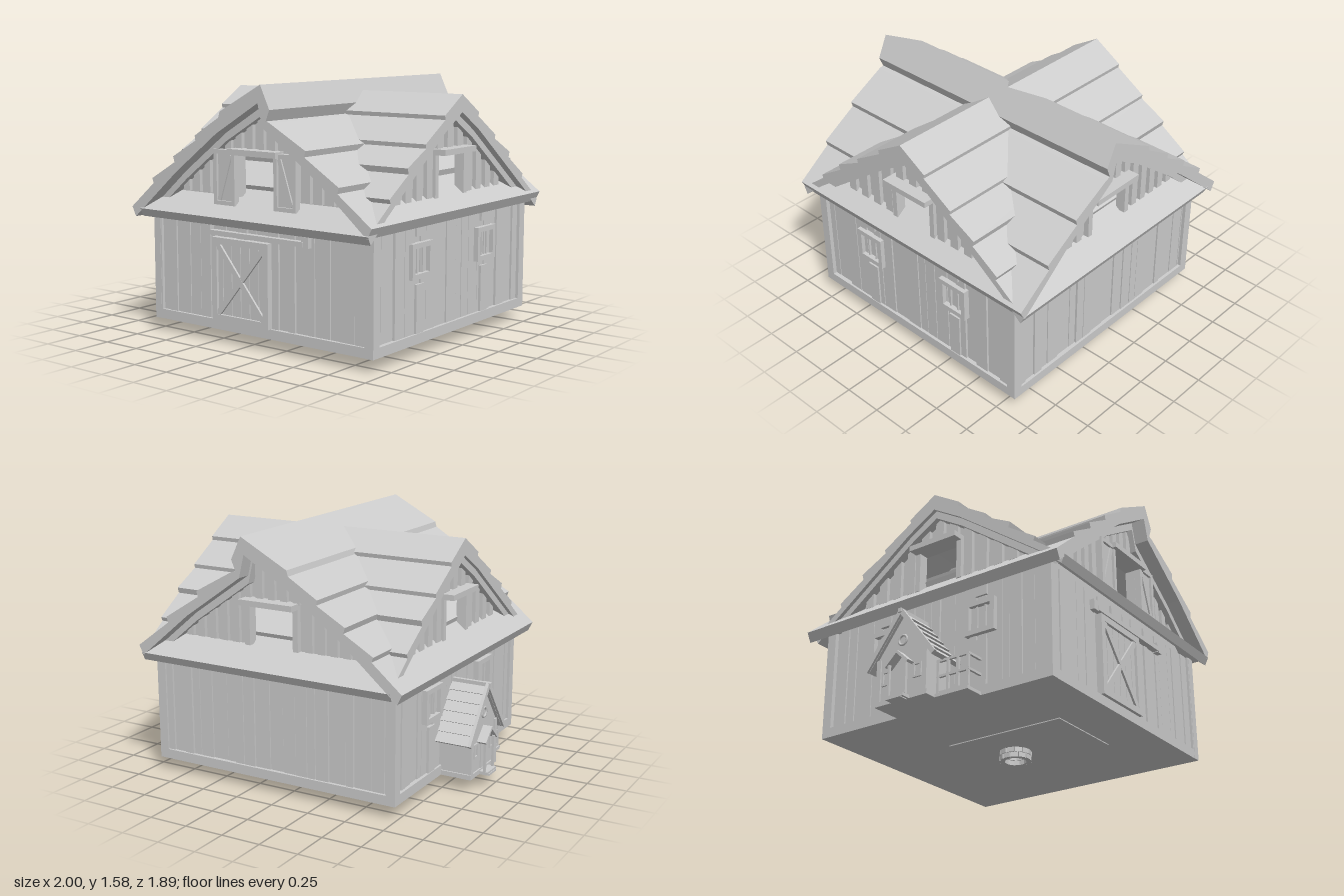
import * as THREE from 'three';

const grey = new THREE.MeshStandardMaterial({ color: 0xcccccc });
grey.name = 'plain grey';

function add(parent, name, geo) {
  const m = new THREE.Mesh(geo, grey);
  m.name = name;
  parent.add(m);
  return m;
}
// Box given by its limits
function box(parent, name, x0, x1, y0, y1, z0, z1) {
  const m = add(parent, name, new THREE.BoxGeometry(x1 - x0, y1 - y0, z1 - z0));
  m.position.set((x0 + x1) / 2, (y0 + y1) / 2, (z0 + z1) / 2);
  return m;
}
// Outline in x/y, extruded from z0 to z1
function prism(parent, name, pts, z0, z1, hole) {
  const s = new THREE.Shape(pts.map(p => new THREE.Vector2(...p)));
  if (hole) s.holes.push(new THREE.Path(hole.map(p => new THREE.Vector2(...p))));
  const g = new THREE.ExtrudeGeometry(s, { depth: z1 - z0, bevelEnabled: false });
  g.translate(0, 0, z0);
  return add(parent, name, g);
}
// Bar between two points in a plane facing z
function bar(parent, name, a, b, w, z0, z1) {
  const m = add(parent, name, new THREE.BoxGeometry(Math.hypot(b[0] - a[0], b[1] - a[1]), w, z1 - z0));
  m.position.set((a[0] + b[0]) / 2, (a[1] + b[1]) / 2, (z0 + z1) / 2);
  m.rotation.z = Math.atan2(b[1] - a[1], b[0] - a[0]);
}
function frame(parent, name, x0, x1, y0, y1, w, z0, z1) {
  prism(parent, name, [[x0, y0], [x1, y0], [x1, y1], [x0, y1]], z0, z1,
    [[x0 + w, y0 + w], [x0 + w, y1 - w], [x1 - w, y1 - w], [x1 - w, y0 + w]]);
}
function sub(parent, name, x, z, ry) {
  const g = new THREE.Group();
  g.name = name;
  g.position.set(x, 0, z);
  g.rotation.y = ry;
  parent.add(g);
  return g;
}
const mirror = pts => pts.map(([x, y]) => [-x, y]).reverse();
function heightAt(pts, x) {
  for (let i = 1; i < pts.length; i++) {
    const [a, b] = [pts[i - 1], pts[i]];
    if (x <= b[0]) return a[1] + (b[1] - a[1]) * (x - a[0]) / (b[0] - a[0]);
  }
  return pts[pts.length - 1][1];
}

// Stepped roof outlines and their undersides, left to right
const mainTop = [[-.83, .79], [-.64, .95], [-.65, .98], [-.46, 1.09], [-.47, 1.125], [-.285, 1.23], [-.29, 1.26],
  [-.1, 1.375], [-.09, 1.41], [.22, 1.575], [.287, 1.435], [.26, 1.37], [.29, 1.36], [.545, 1.22], [.535, 1.185],
  [.775, 1.035], [.765, 1.0], [.995, .83]];
const mainUnder = [[-.8, .73], [-.45, 1.03], [-.12, 1.28], [.2, 1.47], [.235, 1.33], [.42, 1.2], [.62, 1.06], [.965, .77]];
const crossHalf = [[0, 1.505], [.19, 1.39], [.185, 1.365], [.39, 1.24], [.385, 1.215], [.57, 1.12], [.56, 1.085],
  [.745, .965], [.735, .94], [.945, .785]];
const crossUnderHalf = [[0, 1.4], [.2, 1.28], [.42, 1.12], [.77, .865], [.92, .735]];
const whole = half => [...mirror(half).slice(0, -1), ...half];
const crossTop = whole(crossHalf), crossUnder = whole(crossUnderHalf);

// Gable wall with opening, battens, inner bargeboard and lintel
function gable(g, under, u0, u1, h0, h1, step) {
  const knots = [[u0, heightAt(under, u0)], ...under.filter(p => p[0] > u0 && p[0] < u1), [u1, heightAt(under, u1)]];
  const hole = [[h0, .87], [h0, 1.16], [h1, 1.16], [h1, .87]];
  prism(g, 'gableWall', [[u0, .78], [u1, .78], ...[...knots].reverse()], -.03, 0, hole);
  prism(g, 'innerBargeboard', [...knots, ...knots.map(([x, y]) => [x, y - .05]).reverse()], 0, .06);
  const w = step * .55;
  for (let c = u0 + step; c < u1 - step / 2; c += step) {
    const a = c - w / 2, b = c + w / 2;
    const ya = heightAt(under, a) - .02, yb = heightAt(under, b) - .02;
    const low = b > h0 - .03 && a < h1 + .03 ? 1.18 : .905;
    if (Math.min(ya, yb) > low + .03) prism(g, 'gableBatten', [[a, low], [b, low], [b, yb], [a, ya]], 0, .025);
  }
  for (const x of [h0 - .035, h1]) box(g, 'openingJamb', x, x + .035, .9, 1.16, -.03, .035);
  box(g, 'openingLintel', h0 - .035, h1 + .035, 1.155, 1.19, -.03, .1);
}

// Planked wall with its timber frame; local z = 0 is the outer face
function wall(g, half, seed) {
  let s = seed;
  const rnd = () => (s = (s * 16807) % 2147483647) / 2147483647;
  let u = -half + .06;
  while (u < half - .06) {
    const e = Math.min(u + .05 + rnd() * .07, half - .06);
    box(g, 'wallPlank', u, e - .005, .14, .78, -.05, -.012 - rnd() * .016);
    u = e;
  }
  box(g, 'sillBeam', -half, half, .08, .14, -.05, 0);
  for (const k of [-1, 1]) box(g, 'cornerPost', k * (half - .03) - .03, k * (half - .03) + .03, .14, .78, -.05, 0);
}
function windows(g) {
  for (const c of [-.37, .35]) {
    frame(g, 'windowFrame', c - .105, c + .105, .465, .675, .03, -.03, .012);
    for (const x of [-.03, .03]) box(g, 'windowBar', c + x - .005, c + x + .005, .49, .65, -.03, -.006);
    box(g, 'boardAboveWindow', c - .04, c + .04, .71, .78, -.03, -.004);
    box(g, 'boardBelowWindow', c - .04, c + .04, .14, .43, -.03, -.004);
  }
}

function buildCottage(root) {
  // Small lean-to cottage on the left; local z points outward (-x)
  const g = sub(root, 'smallCottage', -.74, -.06, -Math.PI / 2);
  prism(g, 'cottageWalls', [[-.18, .08], [.18, .08], [.18, .38], [0, .61], [-.18, .38]], -.02, .19);
  for (const k of [-1, 1]) {
    for (let i = 0; i < 6; i++) {
      const a = i / 6, b = (i + 1) / 6;
      const P = (t, d) => [k * (.245 * t + d), .635 - .325 * t + d * .6];
      prism(g, 'shingleCourse', [P(a, -.012), P(a, .002), P(b, .012), P(b, -.012)], -.02, .21);
    }
    bar(g, 'cottageBargeboard', [0, .64], [k * .25, .31], .03, .205, .225);
    box(g, 'cottageCornerPost', k * .17 - .015, k * .17 + .015, .08, .37, .18, .2);
    frame(g, 'cottageWindow', k * .115 - .03, k * .115 + .03, .2, .29, .012, .185, .2);
    box(g, 'porchPost', k * .06 - .007, k * .06 + .007, .1, .3, .225, .24);
    bar(g, 'porchRoof', [0, .37], [k * .085, .29], .016, .18, .25);
  }
  box(g, 'cottageRidge', -.012, .012, .625, .65, -.02, .235);
  box(g, 'cottageSill', -.19, .19, .08, .11, -.02, .2);
  box(g, 'cottageDoor', -.04, .04, .1, .27, .18, .197);
  const ring = add(g, 'roundWindow', new THREE.TorusGeometry(.03, .008, 6, 16));
  ring.position.set(0, .46, .192);
  box(g, 'porchStep', -.065, .065, .08, .1, .19, .255);
  box(g, 'porchLowerStep', -.05, .05, .075, .088, .2, .26);
  // Low railing beside the cottage
  for (const y of [.1, .2, .295]) box(g, 'railingRail', .19, .42, y, y + .015, .1, .115);
  for (const x of [.2, .27, .34, .41]) box(g, 'railingPost', x - .008, x + .008, .08, .31, .1, .116);
  box(g, 'railingDeck', .18, .42, .08, .1, -.02, .125);
  for (const y of [.2, .295]) box(g, 'railingEnd', .405, .42, y, y + .015, -.02, .115);
}

export function createModel() {
  const root = new THREE.Group();
  root.name = 'barn';
  box(root, 'barnBody', -.71, .91, .08, .78, -.815, .81);

  // Crossing roofs
  prism(root, 'mainRoof', [...mainTop, ...[...mainUnder].reverse()], -.943, .94);
  const cross = sub(root, 'crossRoofGroup', 0, 0, Math.PI / 2);
  prism(cross, 'crossRoof', [...crossTop, ...[...crossUnder].reverse()], -.755, .975);

  // Gables on all four sides
  gable(sub(root, 'frontGable', 0, .79, 0), mainUnder, -.65, .866, -.05, .25, .085);
  gable(sub(root, 'backGable', 0, -.79, Math.PI), mirror(mainUnder), -.866, .65, -.25, .05, .085);
  gable(sub(root, 'rightGable', .87, 0, Math.PI / 2), crossUnder, -.77, .77, -.14, .14, .11);
  gable(sub(root, 'leftGable', -.67, 0, -Math.PI / 2), crossUnder, -.77, .77, -.14, .14, .11);

  // Planked walls
  const front = sub(root, 'frontWall', .1, .84, 0);
  wall(front, .84, 11);
  wall(sub(root, 'backWall', .1, -.845, Math.PI), .84, 23);
  const sideR = sub(root, 'rightWall', .94, 0, Math.PI / 2);
  const sideL = sub(root, 'leftWall', -.74, 0, -Math.PI / 2);
  wall(sideR, .842, 37);
  wall(sideL, .842, 53);
  windows(sideR);
  windows(sideL);

  // Sliding barn door and its track
  const door = sub(root, 'barnDoor', 0, .84, 0);
  for (let i = 0; i < 6; i++) box(door, 'doorPlank', -.23 + i * .07, -.165 + i * .07, .15, .64, -.03, .005);
  frame(door, 'doorFrame', -.24, .2, .14, .65, .04, -.03, .022);
  bar(door, 'doorBrace', [-.2, .18], [.16, .61], .035, 0, .018);
  bar(door, 'doorBrace', [-.2, .61], [.16, .18], .035, 0, .0185);
  box(door, 'doorTrack', -.26, .46, .66, .69, -.02, .02);
  for (const x of [-.28, .47]) box(door, 'trackBracket', x - .025, x + .025, .655, .72, -.02, .015);

  // Open shutters of the front loft
  for (const [x0, x1, k] of [[-.21, -.05, 1], [.25, .415, -1]]) {
    const s = sub(root, 'loftShutter', (x0 + x1) / 2, .83, 0);
    box(s, 'shutterPanel', -.075, .075, .86, 1.17, 0, .02);
    frame(s, 'shutterFrame', -.082, .082, .85, 1.18, .025, -.005, .035);
    bar(s, 'shutterBrace', [-.045 * k, .88], [.045 * k, 1.15], .025, .01, .03);
  }

  buildCottage(root);

  // Stone ring and floor plate beneath
  box(root, 'floorPlate', -.2, .35, .074, .081, -.28, .53);
  const well = sub(root, 'stoneRing', .095, .01, 0);
  add(well, 'ringWall', new THREE.LatheGeometry(
    [[.07, .08], [.07, .005], [.09, .005], [.09, .08]].map(p => new THREE.Vector2(...p)).reverse(), 24).toNonIndexed())
    .geometry.computeVertexNormals();
  well.children[0].material = grey;
  for (let row = 0; row < 2; row++) for (let i = 0; i < 12; i++) {
    const a = (i + row / 2) * Math.PI / 6;
    const m = add(well, 'ringStone', new THREE.BoxGeometry(.044, .03, .032));
    m.position.set(Math.sin(a) * .082, .015 + row * .033, Math.cos(a) * .082);
    m.rotation.y = a;
  }
  return root;
}
